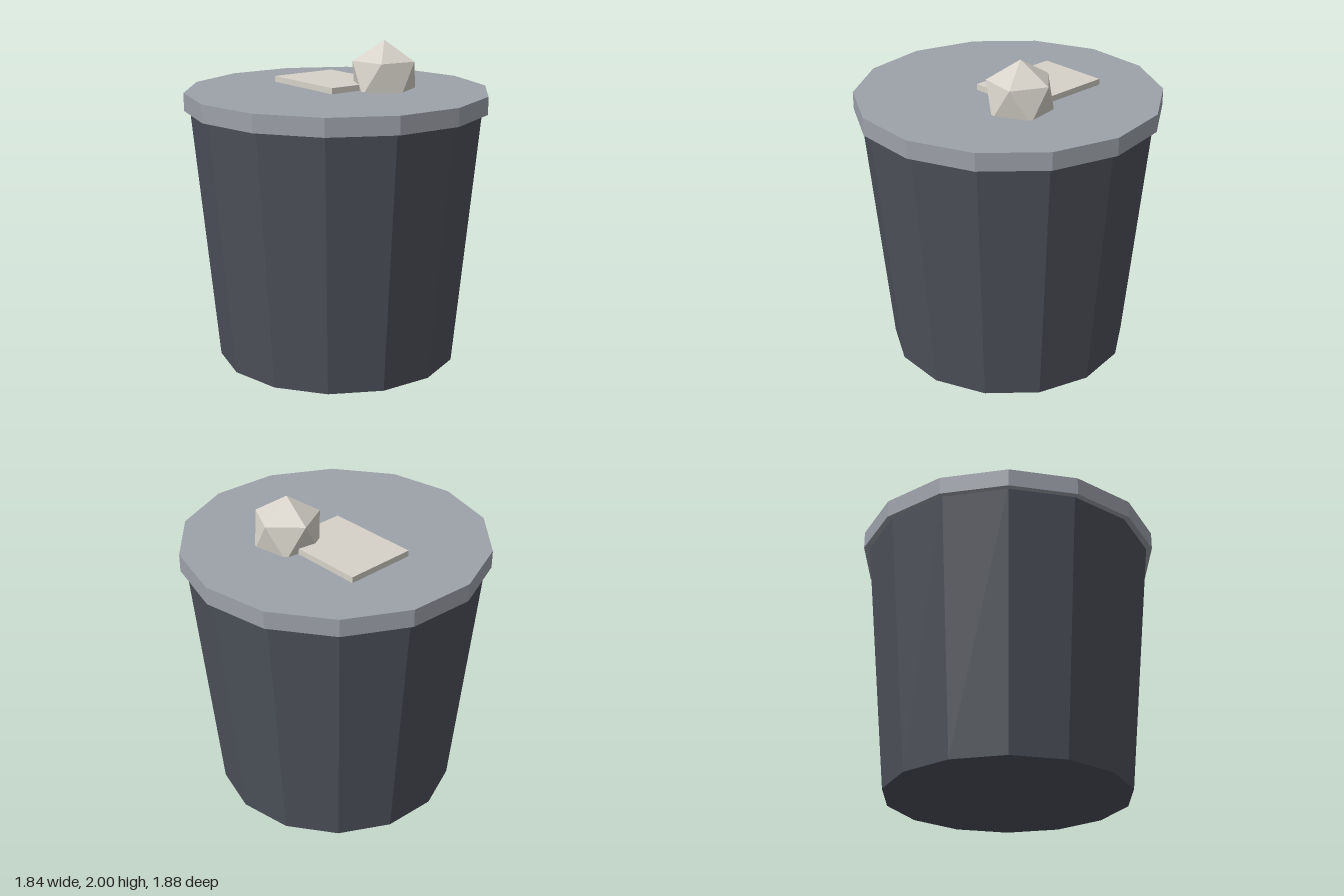
import * as THREE from 'three';

const SIDES = 14;

function createMaterial(name, color) {
  const material = new THREE.MeshStandardMaterial({ color, flatShading: true });
  material.name = name;
  return material;
}

export function createModel() {
  const model = new THREE.Group();
  model.name = 'coveredBucket';

  const darkGrey = createMaterial('dark slate', 0x4d515a);
  const midGrey = createMaterial('mid grey', 0x9da1a9);
  const paleStone = createMaterial('pale stone', 0xd6d2c9);

  function add(name, geometry, material, x, y, z) {
    const mesh = new THREE.Mesh(geometry, material);
    mesh.name = name;
    mesh.position.set(x, y, z);
    model.add(mesh);
    return mesh;
  }

  // Tapered faceted body, its top tucked into the lid
  const bodyHeight = 1.62;
  add('body', new THREE.CylinderGeometry(0.908, 0.755, bodyHeight, SIDES), darkGrey, 0, bodyHeight / 2, 0);

  // Overhanging flat lid
  add('lid', new THREE.CylinderGeometry(0.942, 0.942, 0.11, SIDES), midGrey, 0, 1.645, 0);

  // Thin slab lying askew on the lid
  const slab = add('slab', new THREE.BoxGeometry(0.452, 0.05, 0.603), paleStone, 0.113, 1.712, -0.153);
  slab.rotation.y = -0.17;

  // Twenty-sided pebble, one corner straight up, sunk slightly into the lid
  const pebble = new THREE.IcosahedronGeometry(0.224, 0);
  pebble.rotateZ(-Math.atan(2 / (1 + Math.sqrt(5))));
  add('pebble', pebble, paleStone, 0.225, 1.776, 0.187);

  return model;
}
